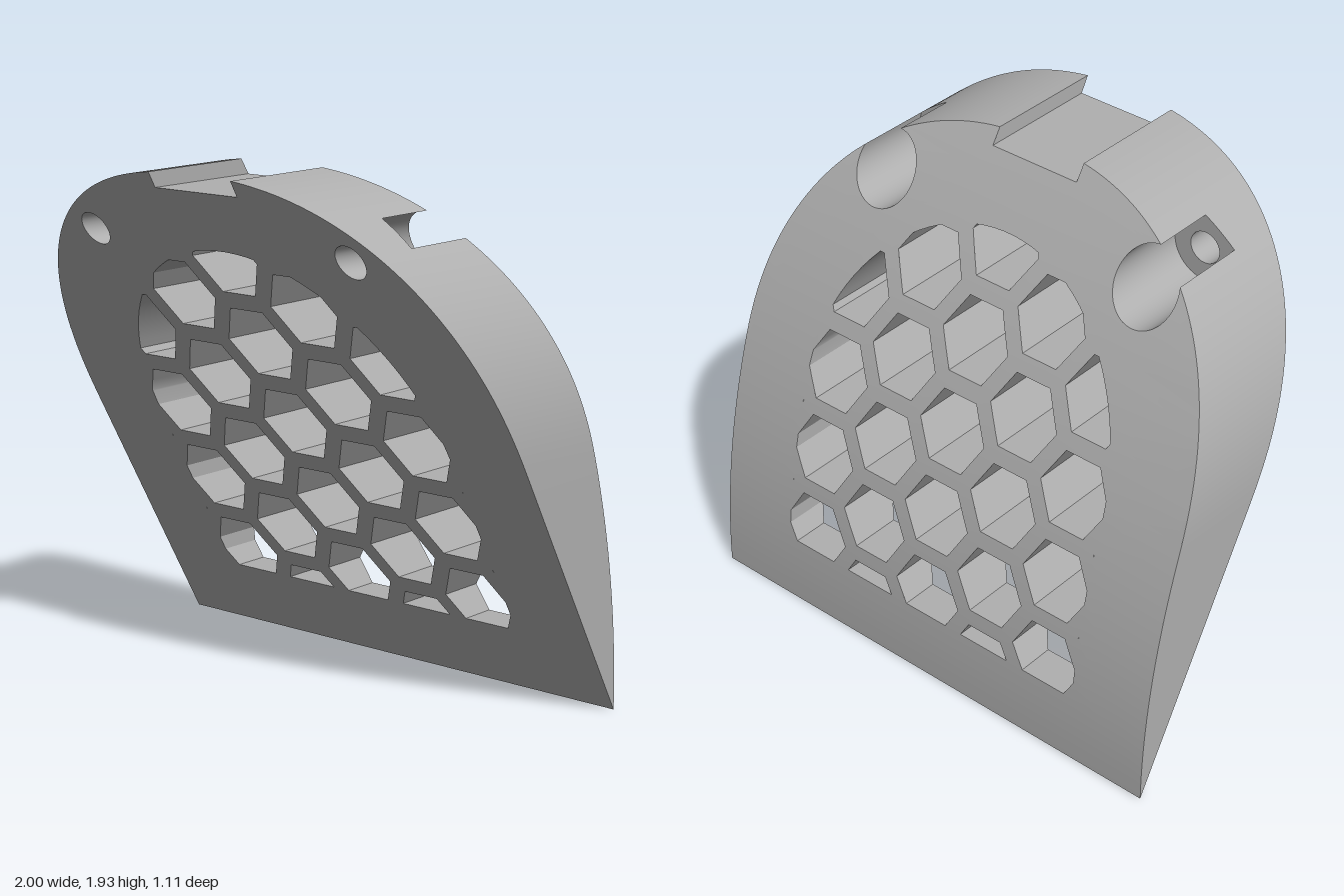
import * as THREE from 'three';
import { toCreasedNormals } from 'three/addons/utils/BufferGeometryUtils.js';

// Depth of the sloping front plane and the bowed back surface at height y
const frontZ = (y) => -0.556 + 0.578 * y;
const backZ = (y) => -0.556 + 0.1734 * y * y;
const BORE = { x: 0.58, y: 1.68, r: 0.127, hole: 0.06, z: 0.25 };
const floorZ = () => BORE.z;

// Arched outline: x(t), y(t) run from the side (t = 0) to the crown
const N = 2.33, BASE = 0.95, RISE = 0.985;
const arch = (t) => [Math.cos(t) ** (2 / N), BASE + RISE * Math.sin(t) ** (2 / N)];
const archT = (x) => Math.acos(x ** (N / 2));
const inArch = ([x, y]) => x ** N + ((y - BASE) / RISE) ** N < 1;

const sample = (fn, a, b, n) => Array.from({ length: n + 1 }, (_, i) => fn(a + (b - a) * i / n));
const mirror = (pts) => pts.map(([x, y]) => [-x, y]).reverse();
const circle = (x, y, r) => (a) => [x + r * Math.cos(a), y + r * Math.sin(a)];

// Keep the part of a convex polygon where a*x + b*y <= c
function clip(poly, a, b, c) {
  const out = [];
  poly.forEach((p, i) => {
    const q = poly[(i + 1) % poly.length];
    const dp = a * p[0] + b * p[1] - c, dq = a * q[0] + b * q[1] - c;
    if (dp <= 0) out.push(p);
    if ((dp < 0 && dq > 0) || (dp > 0 && dq < 0)) {
      const t = dp / (dp - dq);
      out.push([p[0] + (q[0] - p[0]) * t, p[1] + (q[1] - p[1]) * t]);
    }
  });
  return out;
}

// Face filling a contour with holes, cut into level bands so it can follow z(y)
function cap(contour, holes, z, facing) {
  const v = (pts) => pts.map((p) => new THREE.Vector2(...p));
  const all = [contour, ...holes].flat();
  const pos = [], H = 0.06;
  for (const f of THREE.ShapeUtils.triangulateShape(v(contour), holes.map(v))) {
    let tri = f.map((i) => all[i]);
    const [a, b, c] = tri;
    const area = (b[0] - a[0]) * (c[1] - a[1]) - (b[1] - a[1]) * (c[0] - a[0]);
    if (area * facing < 0) tri = [a, c, b];
    const ys = tri.map((p) => p[1]);
    for (let k = Math.floor(Math.min(...ys) / H); k * H < Math.max(...ys); k++) {
      const band = clip(clip(tri, 0, -1, -k * H), 0, 1, (k + 1) * H);
      for (let i = 1; i + 1 < band.length; i++)
        for (const p of [band[0], band[i], band[i + 1]]) pos.push(p[0], p[1], z(p[1]));
    }
  }
  return pos;
}

// Wall along a path between two depths; material lies on the left of the path
function wall(path, z0, z1) {
  const pos = [];
  for (let i = 0; i + 1 < path.length; i++) {
    const [p, q] = [path[i], path[i + 1]];
    const n = Math.max(1, Math.ceil(Math.abs(q[1] - p[1]) / 0.06));
    const pts = sample((t) => [p[0] + (q[0] - p[0]) * t, p[1] + (q[1] - p[1]) * t], 0, 1, n);
    for (let k = 0; k < n; k++) {
      const [a, b] = [pts[k], pts[k + 1]];
      const A = [...a, z0(a[1])], B = [...b, z0(b[1])];
      const C = [...b, z1(b[1])], D = [...a, z1(a[1])];
      pos.push(...A, ...B, ...C, ...A, ...C, ...D);
    }
  }
  return pos;
}

// Hexagonal grille openings, trimmed to an arched window
function grilleHoles() {
  const pitch = 0.317, R = 0.254 / Math.sqrt(3), holes = [];
  for (let col = -3; col <= 3; col++) {
    for (let row = 0; row < 6; row++) {
      const cx = col * pitch * Math.sqrt(3) / 2;
      const cy = 0.357 + pitch * (row - (col % 2 ? 0.5 : 0));
      let hex = sample(circle(cx, cy, R), 0, Math.PI * 5 / 3, 5);
      hex = clip(hex, 0, -1, -0.265);
      hex = clip(clip(hex, 1, 0, 0.68), -1, 0, 0.68);
      for (let i = 1; i < 48; i++) {
        const a = Math.PI * i / 48, nx = Math.cos(a) / 0.68, ny = Math.sin(a) / 0.705;
        hex = clip(hex, nx, ny, 1 + ny * 0.95);
      }
      if (hex.length > 2) holes.push(hex.reverse());
    }
  }
  return holes;
}

// Angle on the bore circle where it crosses the arch
function crossing(inside, outside) {
  const at = circle(BORE.x, BORE.y, BORE.r);
  for (let i = 0; i < 40; i++) {
    const mid = (inside + outside) / 2;
    if (inArch(at(mid))) inside = mid; else outside = mid;
  }
  return inside;
}

export function createModel() {
  const group = new THREE.Group();
  const grey = new THREE.MeshStandardMaterial({ color: 0xb0b0b0 });
  grey.name = 'plain grey';
  const add = (name, pos) => {
    const geo = new THREE.BufferGeometry();
    geo.setAttribute('position', new THREE.Float32BufferAttribute(pos, 3));
    const mesh = new THREE.Mesh(toCreasedNormals(geo, 0.4), grey);
    mesh.name = name;
    group.add(mesh);
  };

  // Right half of the outline, split where the bore breaks through the rim
  const boreAt = circle(BORE.x, BORE.y, BORE.r);
  const lowA = crossing(-0.6, 0.9), highA = crossing(2.4, 0.9);
  const tLow = archT(boreAt(lowA)[0]), tHigh = archT(boreAt(highA)[0]);
  const side = [[1, 0], ...sample(arch, 0, tLow, 24)];
  const lip = sample(arch, tLow, tHigh, 6);
  const crown = [...sample(arch, tHigh, archT(0.185), 14), [0.185, 1.87]];
  const bite = sample(boreAt, lowA, highA - 2 * Math.PI, 36);
  const closed = (half) => [...half, ...mirror(half)];
  const frontOutline = closed([...side, ...lip.slice(1, -1), ...crown]);
  const backOutline = closed([...side, ...bite.slice(1, -1), ...crown]);

  // Faces
  const hexes = grilleHoles();
  const screw = sample(circle(BORE.x, BORE.y, BORE.hole), 2 * Math.PI, 0, 32);
  const ring = screw.slice(0, -1);
  add('frontFace', cap(frontOutline, [...hexes, ring, mirror(ring).reverse()], frontZ, 1));
  add('backFace', cap(backOutline, hexes, backZ, -1));

  // Rim with the shallow crown notch
  const top = [...crown, ...mirror(crown)];
  add('outerRim', [
    ...wall(side, backZ, frontZ), ...wall(mirror(side), backZ, frontZ),
    ...wall(top, backZ, frontZ),
    ...wall(lip, floorZ, frontZ), ...wall(mirror(lip), floorZ, frontZ),
  ]);

  // Grille opening walls
  add('grilleWalls', hexes.flatMap((h) => wall([...h, h[0]], backZ, frontZ)));

  // Counterbored screw holes on both sides
  const floor = [...lip, ...[...bite].reverse().slice(1, -1)];
  for (const [name, flip] of [['leftScrewBore', (p) => p], ['rightScrewBore', mirror]]) {
    add(name, [
      ...wall(flip(bite), backZ, floorZ),
      ...wall(flip(screw), floorZ, frontZ),
      ...cap(flip(floor), [flip(ring)], floorZ, -1),
    ]);
  }
  return group;
}
